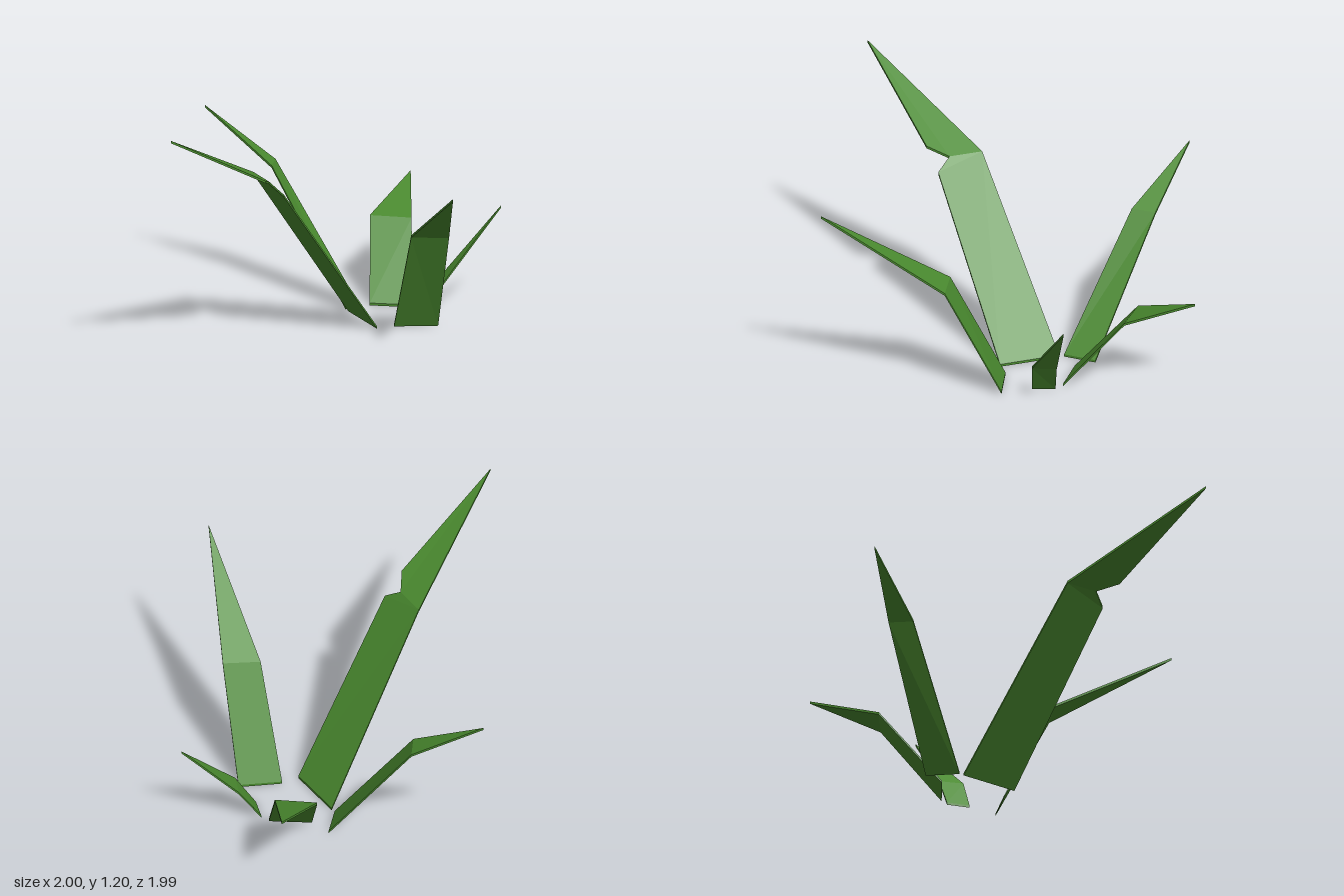
import * as THREE from 'three';

const THICK = 0.012;

// Thin flat-faced panel: an outline of [x, y, z] points, thickened upward.
function panel(outline, material, name) {
  let pts = outline.map((p) => new THREE.Vector3(...p));
  let area = 0;
  pts.forEach((p, i) => {
    const q = pts[(i + 1) % pts.length];
    area += p.x * q.z - q.x * p.z;
  });
  if (area > 0) pts.reverse(); // counter-clockwise seen from above
  const top = pts.map((p) => p.clone().setY(p.y + THICK));
  const verts = [];
  const tri = (...corners) => corners.forEach((c) => verts.push(c.x, c.y, c.z));
  for (let i = 1; i < pts.length - 1; i++) {
    tri(top[0], top[i], top[i + 1]);
    tri(pts[0], pts[i + 1], pts[i]);
  }
  for (let i = 0; i < pts.length; i++) {
    const j = (i + 1) % pts.length;
    tri(pts[i], pts[j], top[j]);
    tri(pts[i], top[j], top[i]);
  }
  const geometry = new THREE.BufferGeometry();
  geometry.setAttribute('position', new THREE.Float32BufferAttribute(verts, 3));
  geometry.computeVertexNormals();
  const mesh = new THREE.Mesh(geometry, material);
  mesh.name = name;
  return mesh;
}

// Each blade: two base corners, the bend from one edge to the other, and the tip.
// lowerBend / upperBend differ only where the blade has a notch.
const BLADES = [
  {
    name: 'tallLeaf',
    base: [[0.32, 0, -0.15], [0.25, 0, 0.14]],
    lowerBend: [[-0.32, 0.78, 0.12], [-0.345, 0.832, 0.04], [-0.305, 0.832, -0.12]],
    upperBend: [[-0.305, 0.832, -0.12], [-0.345, 0.832, 0.04], [-0.43, 0.872, 0.115]],
    tip: [-1, 1.19, 0.08],
  },
  {
    name: 'backLeaf',
    base: [[0.325, 0, -0.175], [0.46, 0, -0.265]],
    lowerBend: [[0.33, 0.615, -0.69], [0.24, 0.62, -0.615]],
    tip: [0.155, 0.845, -1],
  },
  {
    name: 'frontLeaf',
    base: [[0.335, 0, 0.165], [0.5, 0, 0.295]],
    lowerBend: [[0.365, 0.53, 0.53], [0.23, 0.53, 0.41]],
    tip: [-0.01, 0.91, 0.99],
  },
  {
    name: 'leftLeaf',
    base: [[0.455, 0, -0.15], [0.59, 0, 0.005]],
    lowerBend: [[0.78, 0.34, -0.22], [0.655, 0.34, -0.38]],
    tip: [1, 0.465, -0.48],
  },
  {
    name: 'smallLeaf',
    base: [[0.595, 0, 0.05], [0.535, 0, 0.145]],
    lowerBend: [[0.62, 0.16, 0.2], [0.69, 0.16, 0.105]],
    tip: [0.95, 0.48, 0.235],
  },
];

export function createModel() {
  const model = new THREE.Group();
  model.name = 'grassTuft';
  const green = new THREE.MeshStandardMaterial({ color: 0x4a8a2f });
  green.name = 'leafGreen';

  for (const { name, base, lowerBend, upperBend = lowerBend, tip } of BLADES) {
    const leaf = new THREE.Group();
    leaf.name = name;
    leaf.add(panel([...base, ...lowerBend], green, 'lowerBlade'));
    leaf.add(panel([...upperBend, tip], green, 'bladeTip'));
    model.add(leaf);
  }
  return model;
}
